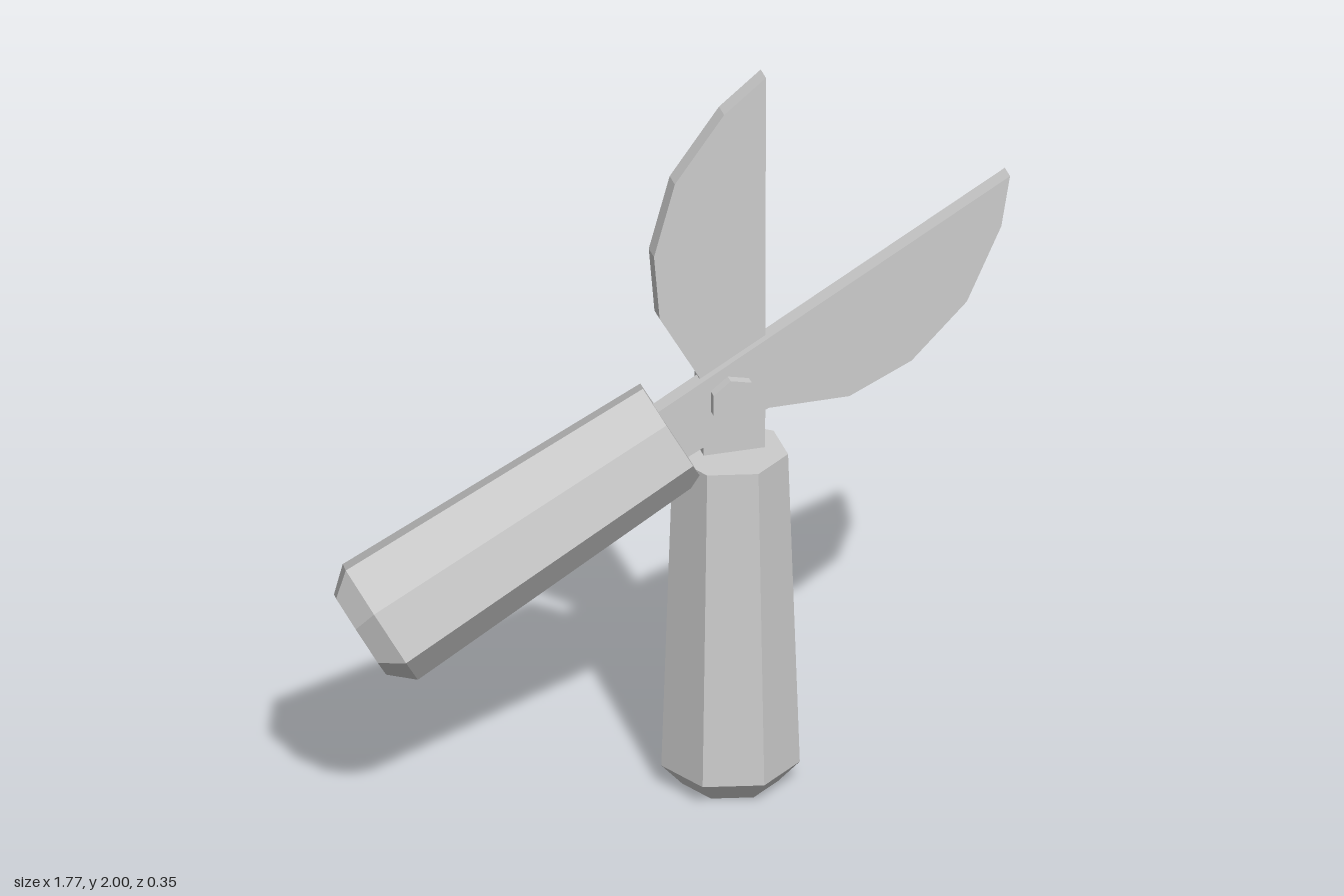
import * as THREE from 'three';

const material = new THREE.MeshStandardMaterial({ color: 0xcccccc, flatShading: true });
const PIVOT = { x: 0.147, y: 1.105 };
const rad = THREE.MathUtils.degToRad;

function add(parent, name, geometry) {
  const mesh = new THREE.Mesh(geometry, material);
  mesh.name = name;
  parent.add(mesh);
  return mesh;
}

// Seven-sided tapered grip with a chamfered butt, measured down from the pivot
function handleGeometry() {
  const profile = [[0, 0], [0.125, 0], [0.18, 0.06], [0.15, 0.94], [0, 0.94]]
    .map(([r, y]) => new THREE.Vector2(r, y - PIVOT.y));
  return new THREE.LatheGeometry(profile, 7, -Math.PI / 2);
}

// Blade and tang in one flat plate, straight cutting edge on +x
function bladeGeometry() {
  const outline = [
    [0.092, 0.895], [-0.018, 0.805], [-0.148, 0.625], [-0.203, 0.425],
    [-0.188, 0.245], [-0.083, 0.06], [-0.071, -0.18], [0.09, -0.18],
  ].map(([x, y]) => new THREE.Vector2(x, y));
  return new THREE.ExtrudeGeometry(new THREE.Shape(outline), { depth: 0.047, bevelEnabled: false })
    .translate(0, 0, -0.034);
}

export function createModel() {
  const shears = new THREE.Group();
  shears.name = 'shears';

  const pivot = new THREE.Group();
  pivot.name = 'pivot';
  pivot.position.set(PIVOT.x, PIVOT.y, 0);
  shears.add(pivot);

  // Upright half
  const upright = new THREE.Group();
  upright.name = 'uprightHalf';
  pivot.add(upright);
  add(upright, 'uprightHandle', handleGeometry());
  add(upright, 'uprightBlade', bladeGeometry());

  // Swung-open half: the blade is turned over so the cutting edges face each other
  const open = new THREE.Group();
  open.name = 'openHalf';
  open.rotation.z = rad(-60);
  pivot.add(open);
  const openHandle = add(open, 'openHandle', handleGeometry());
  openHandle.rotation.z = rad(-0.8);
  openHandle.position.y = -0.013;
  add(open, 'openBlade', bladeGeometry()).rotation.y = Math.PI;

  // Bolt through both plates
  add(pivot, 'bolt', new THREE.CylinderGeometry(0.066, 0.066, 0.12, 7, 1, false, Math.PI / 2)
    .rotateX(Math.PI / 2));

  return shears;
}
